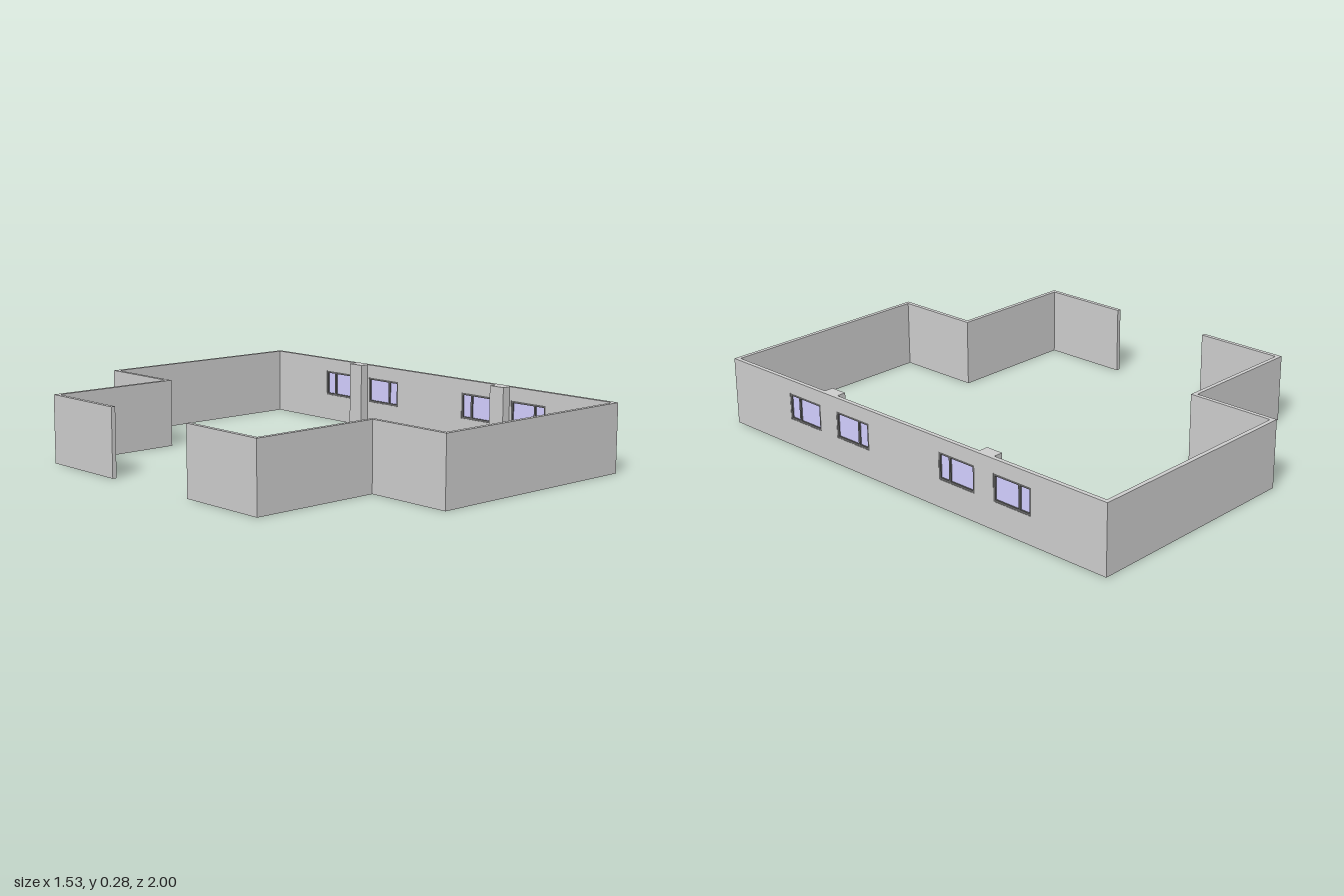
import * as THREE from 'three';

const H = 0.282;            // wall height
const T = 0.018;            // wall thickness
const X = 0.765;            // half width
const SILL = 0.114, HEAD = 0.225;
const FRAME = 0.009;

// windows on one half of the long wall: z range and divider position
const WINDOWS = [
  { a: 0.468, b: 0.652, mid: 0.594 },
  { a: 0.19, b: 0.374, mid: 0.247 },
];

const wallMat = new THREE.MeshStandardMaterial({ color: 0xcccccc });
const frameMat = new THREE.MeshStandardMaterial({ color: 0x666666 });
const glassMat = new THREE.MeshStandardMaterial({ color: 0xd2ceff });

const rect = (Type, z0, z1, y0, y1) => new Type([
  new THREE.Vector2(z0, y0), new THREE.Vector2(z1, y0),
  new THREE.Vector2(z1, y1), new THREE.Vector2(z0, y1),
]);

// extrude a z-y outline so it fills from x - depth to x
function panel(shape, depth, x) {
  return new THREE.ExtrudeGeometry(shape, { depth, bevelEnabled: false })
    .rotateY(-Math.PI / 2).translate(x, 0, 0);
}

function add(parent, name, geometry, material) {
  const mesh = new THREE.Mesh(geometry, material);
  mesh.name = name;
  parent.add(mesh);
  return mesh;
}

// stepped wall of one half, extruded up from its footprint
function steppedWall(s) {
  const plan = [
    [X - T, 1], [-0.205, 1], [-0.205, 0.628], [-X, 0.628], [-X, 0.233],
    [-X + T, 0.233], [-X + T, 0.628 - T], [-0.205 + T, 0.628 - T],
    [-0.205 + T, 1 - T], [X - T, 1 - T],
  ];
  const shape = new THREE.Shape(plan.map(([x, z]) => new THREE.Vector2(x, -s * z)));
  return new THREE.ExtrudeGeometry(shape, { depth: H, bevelEnabled: false })
    .rotateX(-Math.PI / 2);
}

function createWindow({ a, b, mid }, s) {
  const group = new THREE.Group();
  group.name = 'window';
  const [z0, z1] = [s * a, s * b].sort((p, q) => p - q);
  const m = s * mid, h = FRAME / 2;

  // frame with two openings either side of the divider
  const frame = rect(THREE.Shape, z0, z1, SILL, HEAD);
  frame.holes.push(
    rect(THREE.Path, z0 + FRAME, m - h, SILL + FRAME, HEAD - FRAME),
    rect(THREE.Path, m + h, z1 - FRAME, SILL + FRAME, HEAD - FRAME),
  );
  add(group, 'windowFrame', panel(frame, T - 0.002, X - 0.001), frameMat);

  // glass set in the middle of the frame
  for (const [p, q] of [[z0 + FRAME, m - h], [m + h, z1 - FRAME]]) {
    const pane = rect(THREE.Shape, p, q, SILL + FRAME, HEAD - FRAME);
    add(group, 'windowPane', panel(pane, 0.004, X - T / 2 + 0.002), glassMat);
  }
  return group;
}

export function createModel() {
  const model = new THREE.Group();
  model.name = 'walledRoom';

  // long wall with window openings
  const longWall = rect(THREE.Shape, -1, 1, 0, H);
  for (const s of [-1, 1]) {
    for (const w of WINDOWS) {
      longWall.holes.push(rect(THREE.Path, s * w.a, s * w.b, SILL, HEAD));
      model.add(createWindow(w, s));
    }
    add(model, s > 0 ? 'frontSteppedWall' : 'backSteppedWall', steppedWall(s), wallMat);

    // pillar against the inside of the long wall, between two windows
    const pillar = new THREE.BoxGeometry(X - T - 0.708, H, 0.074);
    add(model, 'pillar', pillar, wallMat)
      .position.set((X - T + 0.708) / 2, H / 2, s * 0.421);
  }
  add(model, 'windowWall', panel(longWall, T, X), wallMat);

  return model;
}
